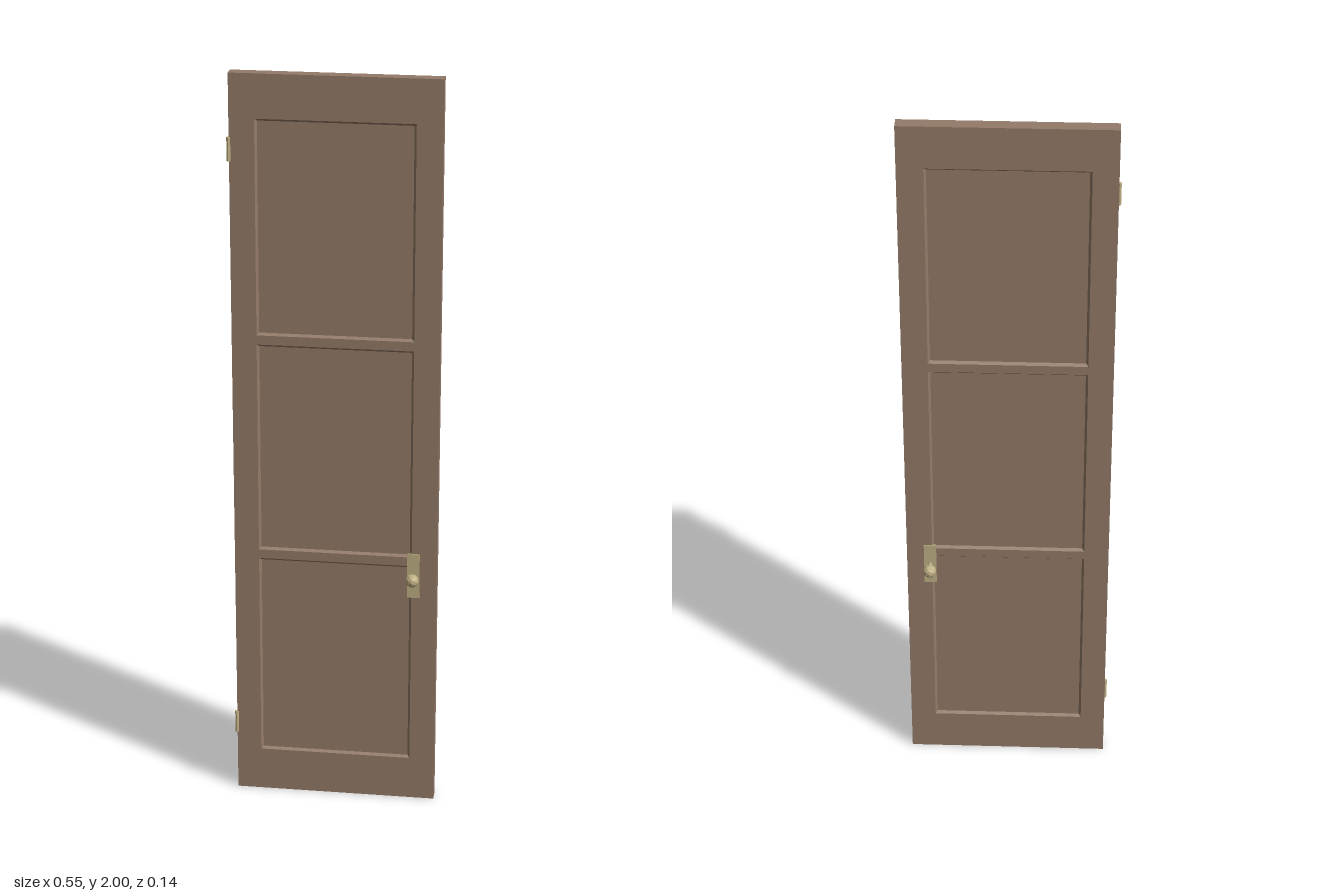
import * as THREE from 'three';

const X0 = -0.268, X1 = 0.272, HALF = 0.017;   // door slab edges and half thickness
const PX0 = -0.203, PX1 = 0.205;               // panel opening sides
const PANELS = [[0.12, 0.69], [0.715, 1.29], [1.315, 1.885]];
const DEPTH = 0.007, SLOPE = 0.006;            // panel recess and moulding width

function rectPath(path, x0, y0, x1, y1) {
  path.moveTo(x0, y0);
  path.lineTo(x1, y0);
  path.lineTo(x1, y1);
  path.lineTo(x0, y1);
  path.closePath();
  return path;
}

// sloped ring from the frame face down to the sunken panel
function mouldingGeometry(x0, y0, x1, y1) {
  const ring = (i, z) => [
    [x0 + i, y0 + i, z], [x1 - i, y0 + i, z], [x1 - i, y1 - i, z], [x0 + i, y1 - i, z],
  ];
  const outer = ring(0, HALF), inner = ring(SLOPE, HALF - DEPTH);
  const pos = [];
  for (let k = 0; k < 4; k++) {
    const n = (k + 1) % 4;
    pos.push(...outer[k], ...outer[n], ...inner[n], ...outer[k], ...inner[n], ...inner[k]);
  }
  const g = new THREE.BufferGeometry();
  g.setAttribute('position', new THREE.Float32BufferAttribute(pos, 3));
  g.computeVertexNormals();
  return g;
}

export function createModel() {
  const door = new THREE.Group();
  door.name = 'door';
  const wood = new THREE.MeshStandardMaterial({ color: 0x937a68 });
  wood.name = 'brown wood';
  const brass = new THREE.MeshStandardMaterial({ color: 0xbfb084, flatShading: true });
  brass.name = 'pale brass';

  const add = (parent, name, geometry, material, x = 0, y = 0, z = 0) => {
    const m = new THREE.Mesh(geometry, material);
    m.name = name;
    m.position.set(x, y, z);
    parent.add(m);
    return m;
  };

  // stiles and rails in one piece
  const shape = rectPath(new THREE.Shape(), X0, 0, X1, 2);
  for (const [y0, y1] of PANELS) shape.holes.push(rectPath(new THREE.Path(), PX0, y0, PX1, y1));
  add(door, 'frame', new THREE.ExtrudeGeometry(shape, { depth: HALF * 2, bevelEnabled: false }),
    wood, 0, 0, -HALF);

  // sunken panels with mouldings on both faces
  const cx = (PX0 + PX1) / 2;
  for (const [y0, y1] of PANELS) {
    add(door, 'panel', new THREE.BoxGeometry(PX1 - PX0, y1 - y0, (HALF - DEPTH) * 2),
      wood, cx, (y0 + y1) / 2, 0);
    const front = mouldingGeometry(PX0, y0, PX1, y1);
    add(door, 'frontMoulding', front, wood);
    const back = front.clone().rotateY(Math.PI).translate(2 * cx, 0, 0);
    add(door, 'backMoulding', back, wood);
  }

  // handle on each face: plate, stem and faceted knob
  for (const s of [1, -1]) {
    const handle = new THREE.Group();
    handle.name = s > 0 ? 'frontHandle' : 'backHandle';
    handle.position.set(0.21, 0.663, 0);
    add(handle, 'handlePlate', new THREE.BoxGeometry(0.033, 0.126, 0.004), brass, 0, 0, s * 0.0175);
    const stem = new THREE.CylinderGeometry(0.005, 0.005, 0.03, 8).rotateX(Math.PI / 2);
    add(handle, 'knobStem', stem, brass, 0, 0, s * 0.03);
    add(handle, 'knob', new THREE.IcosahedronGeometry(0.018, 1), brass, 0, 0, s * 0.05);
    door.add(handle);
  }

  // hinge barrels on the front left edge
  for (const y of [0.2, 1.805]) {
    add(door, 'hinge', new THREE.CylinderGeometry(0.005, 0.005, 0.062, 8), brass, X0 - 0.001, y, HALF);
  }
  return door;
}
